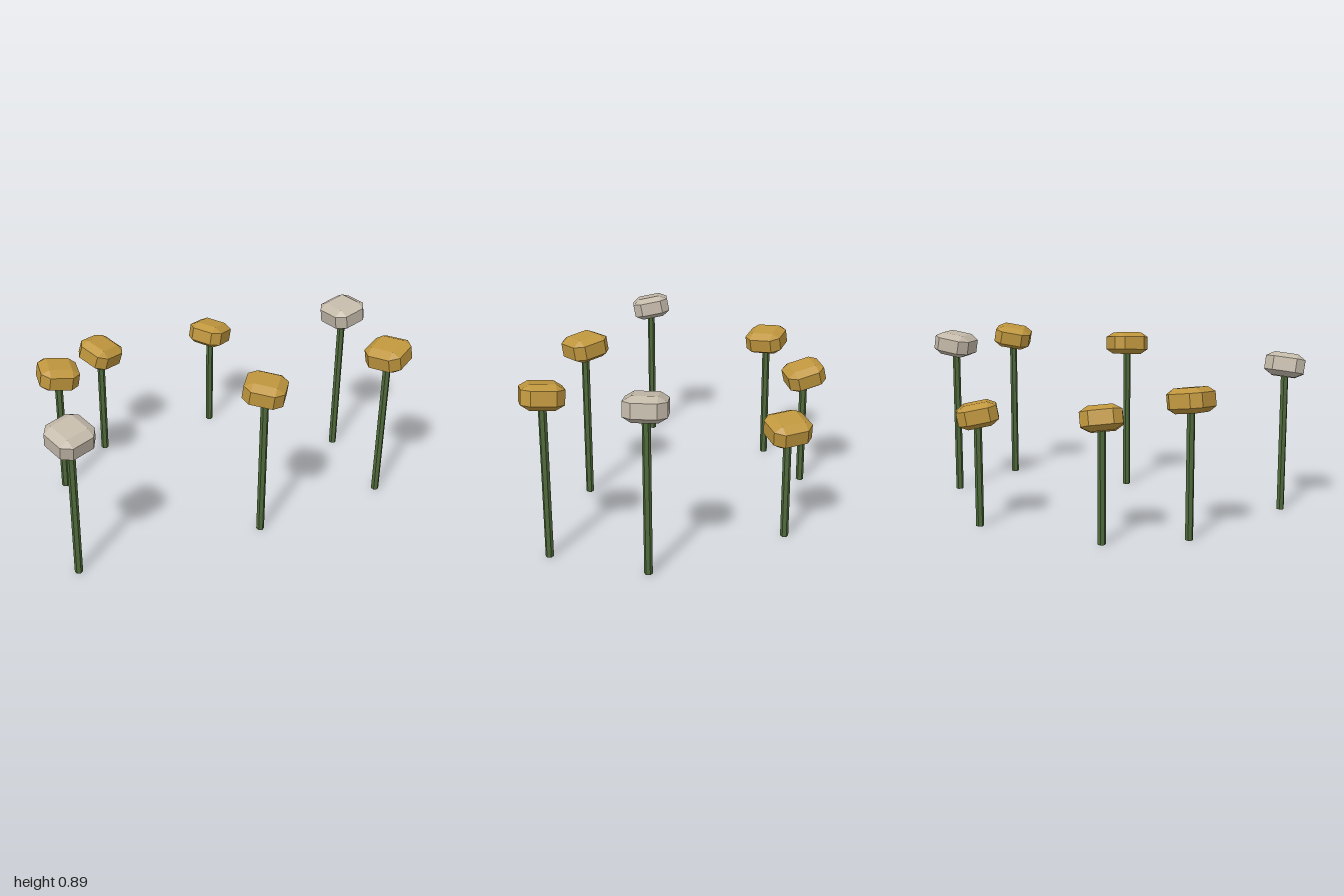
import * as THREE from 'three';
import { ConvexGeometry } from 'three/addons/geometries/ConvexGeometry.js';

const gold = new THREE.MeshStandardMaterial({ name: 'gold', color: 0xbf963e, flatShading: true });
const pale = new THREE.MeshStandardMaterial({ name: 'pale grey', color: 0xc3b9a9, flatShading: true });
const green = new THREE.MeshStandardMaterial({ name: 'stem green', color: 0x4f6a3b, flatShading: true });

// Chamfered box: each of the six faces is inset, joined by bevels and corner triangles
function headGeometry(radius, halfHeight, inset) {
  const points = [];
  for (const sx of [-1, 1]) for (const sy of [-1, 1]) for (const sz of [-1, 1]) {
    for (let axis = 0; axis < 3; axis++) {
      const k = [inset, inset, inset];
      k[axis] = 1;
      points.push(new THREE.Vector3(sx * k[0] * radius, sy * k[1] * halfHeight, sz * k[2] * radius));
    }
  }
  return new ConvexGeometry(points);
}

// x, z, head height, tilt about x, tilt about z, turn about y, colour
const flowers = [
  [-0.893, 0.275, 0.767, 0.2, 0.09, 0.14, pale],
  [-0.57, -0.405, 0.681, 0.12, -0.12, -0.34, gold],
  [-0.195, -0.605, 0.608, 0.22, -0.17, 0.28, gold],
  [0.035, 0.52, 0.812, 0.13, -0.04, 0.72, gold],
  [0.479, -0.512, 0.567, -0.02, -0.19, 0.44, gold],
  [0.763, 0.602, 0.814, -0.03, 0.19, 0.29, gold],
  [0.896, 0.117, 0.822, 0, 0.16, 0, pale],
];

export function createModel() {
  const model = new THREE.Group();
  model.name = 'flowerPatch';
  const headShape = headGeometry(0.1, 0.06, 0.58);

  for (const [x, z, y, tiltX, tiltZ, turn, colour] of flowers) {
    const flower = new THREE.Group();
    flower.name = 'flower';
    flower.position.set(x, 0, z);

    // Six-sided stem, ending inside the head
    const stem = new THREE.Mesh(new THREE.CylinderGeometry(0.02, 0.02, y, 6), green);
    stem.name = 'stem';
    stem.position.y = y / 2;

    // Head turned about its own axis, then tilted
    const head = new THREE.Mesh(headShape, colour);
    head.name = 'flowerHead';
    head.position.y = y;
    head.rotation.set(tiltX, turn, tiltZ, 'XZY');

    flower.add(stem, head);
    model.add(flower);
  }
  return model;
}
